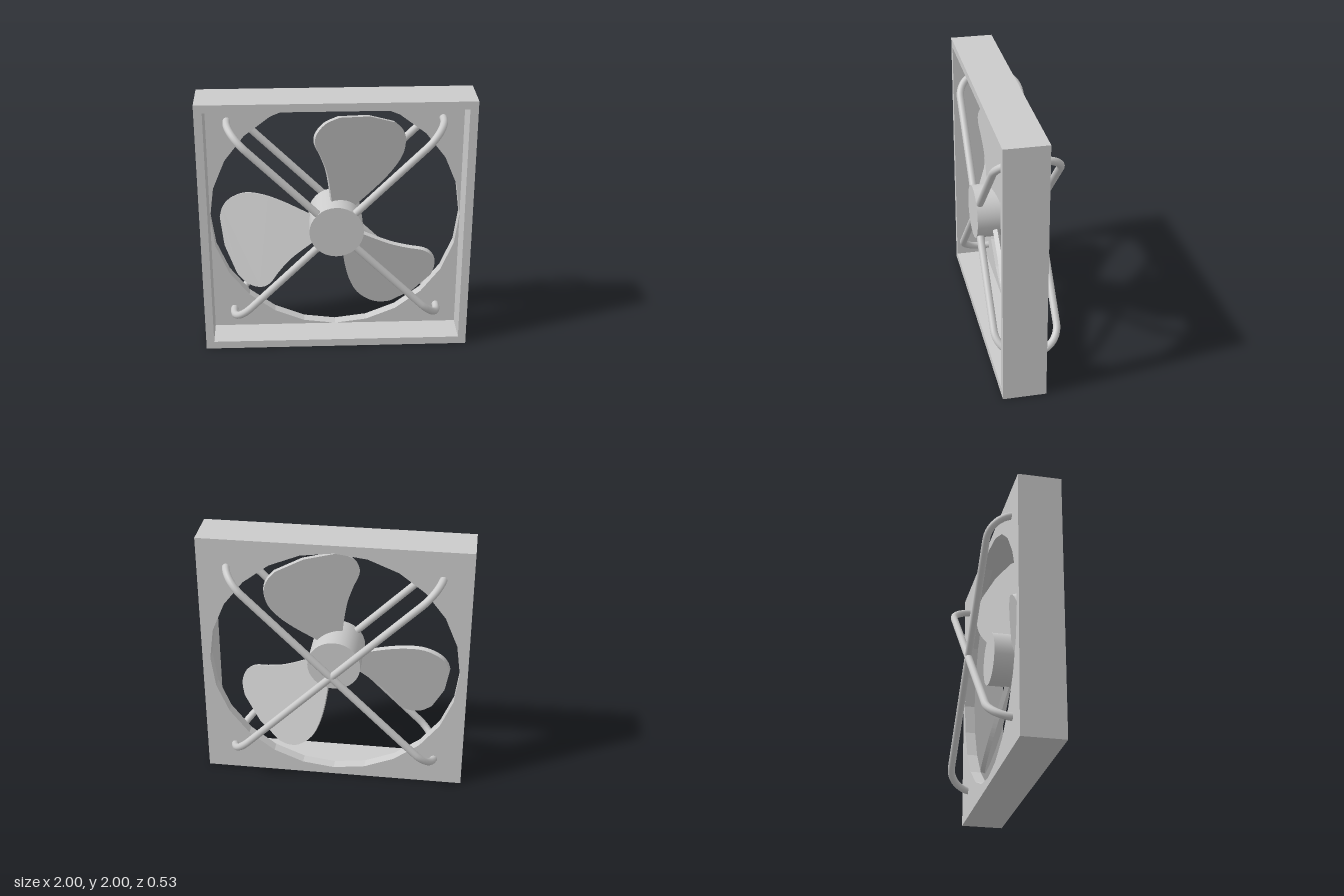
import * as THREE from 'three';

const material = new THREE.MeshStandardMaterial({ color: 0xcccccc });

function part(name, geometry) {
  const mesh = new THREE.Mesh(geometry, material);
  mesh.name = name;
  return mesh;
}

// Square or many-sided outline around the origin
function ring(sides, radius, offset = 0) {
  return Array.from({ length: sides }, (_, i) => {
    const a = offset + (i / sides) * Math.PI * 2;
    return new THREE.Vector2(radius * Math.cos(a), radius * Math.sin(a));
  });
}

function squareWithHole(holePoints, depth) {
  const shape = new THREE.Shape(ring(4, Math.SQRT2, Math.PI / 4));
  shape.holes.push(new THREE.Path(holePoints));
  return new THREE.ExtrudeGeometry(shape, { depth, bevelEnabled: false });
}

// Rod running along x, with both ends bent down to the plate at z = 0
function rodGeometry() {
  const reach = 1.11, height = 0.235, bend = 0.2, k = bend * 0.448;
  const v = (x, z) => new THREE.Vector3(x, 0, z);
  const foot = height - bend, inner = reach - bend;
  const path = new THREE.CurvePath();
  path.add(new THREE.LineCurve3(v(-reach, -0.03), v(-reach, foot)));
  path.add(new THREE.CubicBezierCurve3(v(-reach, foot), v(-reach, height - k), v(-reach + k, height), v(-inner, height)));
  path.add(new THREE.LineCurve3(v(-inner, height), v(inner, height)));
  path.add(new THREE.CubicBezierCurve3(v(inner, height), v(reach - k, height), v(reach, height - k), v(reach, foot)));
  path.add(new THREE.LineCurve3(v(reach, foot), v(reach, -0.03)));
  return new THREE.TubeGeometry(path, 90, 0.028, 12);
}

// Flat paddle: narrow at the hub, wide and rounded at the tip
function bladeGeometry(pitch) {
  const thickness = 0.034;
  const stretch = 1 / Math.cos(pitch);
  const p = (x, y) => new THREE.Vector2(x * stretch, y);
  const shape = new THREE.Shape();
  shape.moveTo(-0.03 * stretch, 0.1);
  shape.lineTo(0.1 * stretch, 0.1);
  shape.splineThru([p(0.152, 0.143), p(0.32, 0.276), p(0.431, 0.386), p(0.5, 0.494),
    p(0.516, 0.61), p(0.489, 0.69), p(0.435, 0.748)]);
  shape.lineTo(0.24 * stretch, 0.825);
  shape.lineTo(0.02 * stretch, 0.848);
  shape.splineThru([p(-0.08, 0.815), p(-0.145, 0.745), p(-0.155, 0.665), p(-0.112, 0.56),
    p(-0.07, 0.43), p(-0.043, 0.25), p(-0.03, 0.1)]);
  const geometry = new THREE.ExtrudeGeometry(shape, { depth: thickness, bevelEnabled: false, curveSegments: 4 });
  geometry.translate(0, 0, -thickness / 2);
  geometry.rotateY(pitch);
  geometry.translate(0, 0, 0.12);
  return geometry;
}

export function createModel() {
  const model = new THREE.Group();
  model.name = 'boxFan';

  // Housing: open front walls and a back plate with a round opening
  const housing = new THREE.Group();
  housing.name = 'housing';
  housing.add(part('sideWalls', squareWithHole(ring(4, 0.94 * Math.SQRT2, Math.PI / 4), 0.24)));
  const plate = part('backPlate', squareWithHole(ring(24, 0.94), 0.08));
  plate.position.z = -0.08;
  housing.add(plate);
  model.add(housing);

  // Motor hub
  const hub = part('hub', new THREE.CylinderGeometry(0.2, 0.2, 0.34, 32).rotateX(Math.PI / 2));
  hub.position.z = 0.093;
  model.add(hub);

  // Three pitched blades
  const blade = bladeGeometry(0.33);
  for (let i = 0; i < 3; i++) {
    const mesh = part('blade', blade);
    mesh.rotation.z = (i * Math.PI * 2) / 3;
    model.add(mesh);
  }

  // Crossed guard rods in front and behind
  const rod = rodGeometry();
  for (const side of ['front', 'back']) {
    const guard = new THREE.Group();
    guard.name = side + 'Guard';
    for (const angle of [Math.PI / 4, -Math.PI / 4]) {
      const mesh = part('guardRod', rod);
      mesh.rotation.z = angle;
      guard.add(mesh);
    }
    if (side === 'back') guard.rotation.y = Math.PI;
    model.add(guard);
  }

  for (const child of model.children) child.position.y = 1;
  return model;
}
